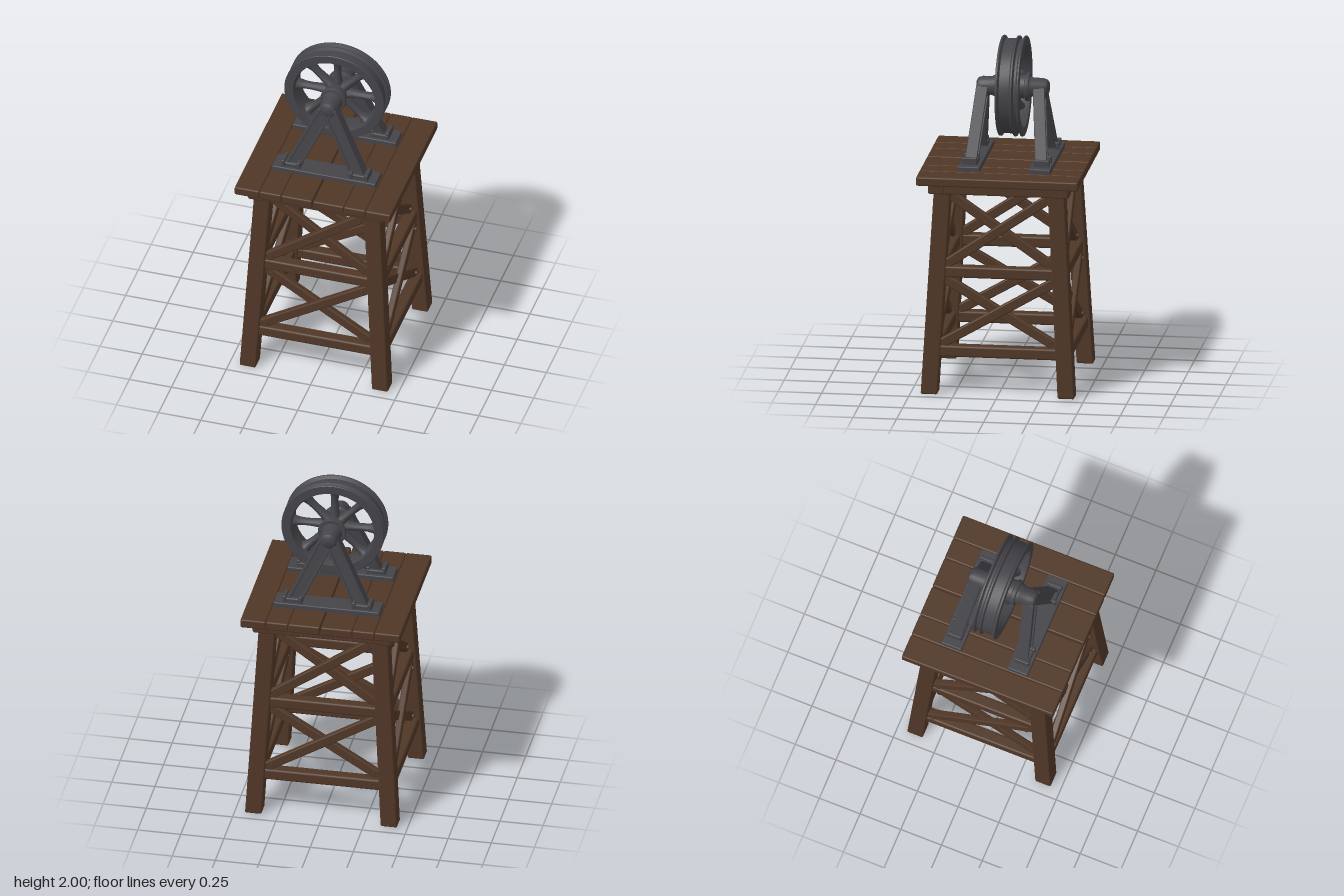
import * as THREE from 'three';
import { RoundedBoxGeometry } from 'three/addons/geometries/RoundedBoxGeometry.js';
import { toCreasedNormals } from 'three/addons/utils/BufferGeometryUtils.js';

const wood = new THREE.MeshStandardMaterial({ name: 'brown wood', color: 0x503727 });
const iron = new THREE.MeshStandardMaterial({ name: 'dark iron', color: 0x444449 });

function add(parent, name, geometry, material, x = 0, y = 0, z = 0) {
  const mesh = new THREE.Mesh(geometry, material);
  mesh.name = name;
  mesh.position.set(x, y, z);
  parent.add(mesh);
  return mesh;
}

const block = (w, h, d, r = 0.008) => new RoundedBoxGeometry(w, h, d, 2, r);

// Straight bar from a to b; w lies across the bar, d along the facing direction
function bar(parent, name, a, b, w, d, material, side = 0, r = 0.008) {
  const along = b.clone().sub(a);
  const length = along.length();
  along.normalize();
  const across = new THREE.Vector3().crossVectors(along, new THREE.Vector3(0, 0, 1)).normalize();
  const facing = new THREE.Vector3().crossVectors(across, along);
  const mesh = add(parent, name, block(w, length, d, r), material);
  mesh.quaternion.setFromRotationMatrix(new THREE.Matrix4().makeBasis(across, along, facing));
  mesh.position.copy(a).add(b).multiplyScalar(0.5).addScaledVector(across, side);
  return mesh;
}

// Turned solid around the z axis; profile is [radius, z] pairs
function turned(profile, segments = 48) {
  const points = profile.map(([r, z]) => new THREE.Vector2(r, z));
  const geometry = toCreasedNormals(new THREE.LatheGeometry(points, segments), 0.6);
  return geometry.rotateX(Math.PI / 2);
}

// Distance of the leg centreline from the middle at height y
const legOffset = (y) => 0.393 - 0.056 * y;

function buildTower() {
  const tower = new THREE.Group();
  tower.name = 'timberTower';

  // Four legs leaning inwards, cut level at the ends
  for (const sx of [-1, 1]) for (const sz of [-1, 1]) {
    const geometry = block(0.096, 1.22, 0.096, 0.009).translate(0, 0.61, 0);
    const p = geometry.attributes.position;
    for (let i = 0; i < p.count; i++) {
      const c = legOffset(p.getY(i));
      p.setXYZ(i, p.getX(i) + sx * c, p.getY(i), p.getZ(i) + sz * c);
    }
    add(tower, 'leg', geometry, wood);
  }

  // Four braced sides
  for (let k = 0; k < 4; k++) {
    const side = new THREE.Group();
    side.name = 'bracedSide';
    side.rotation.y = k * Math.PI / 2;
    tower.add(side);
    for (const y of [0.25, 0.71]) {
      add(side, 'crossBeam', block(legOffset(y) * 2 - 0.02, 0.066, 0.07, 0.012), wood, 0, y, legOffset(y));
    }
    add(side, 'topBeam', block(0.81, 0.062, 0.09), wood, 0, 1.2, 0.355);

    for (const [low, high] of [[0.28, 0.67], [0.74, 1.16]]) {
      for (const s of [-1, 1]) {
        const point = (x, y) => new THREE.Vector3(x, y, legOffset(y) + s * 0.011);
        const a = point(-s * (legOffset(low) - 0.03), low);
        const b = point(s * (legOffset(high) - 0.03), high);
        bar(side, 'diagonalBrace', a, b, 0.056, 0.038, wood);
        // Pegs near the brace ends
        for (const t of [0.08, 0.92]) {
          const q = a.clone().lerp(b, t);
          const peg = new THREE.CylinderGeometry(0.012, 0.014, 0.05, 8).rotateX(Math.PI / 2);
          add(side, 'peg', peg, wood, q.x, q.y, q.z + 0.004);
        }
      }
    }
  }
  return tower;
}

function buildDeck() {
  const deck = new THREE.Group();
  deck.name = 'plankDeck';
  const edges = [-0.463, -0.315, -0.186, 0, 0.186, 0.315, 0.463];
  for (let i = 0; i < 6; i++) {
    const gapLeft = i === 3 ? 0.003 : 0;
    const gapRight = i === 2 ? 0.003 : 0;
    const x0 = edges[i] + gapLeft, x1 = edges[i + 1] - gapRight;
    add(deck, 'plank', block(x1 - x0, 0.052, 0.93, 0.009), wood, (x0 + x1) / 2, 1.256, 0);
  }
  return deck;
}

function buildWheel() {
  const wheel = new THREE.Group();
  wheel.name = 'pulleyWheel';
  wheel.position.y = 1.716;
  wheel.scale.y = 0.965;

  // Rim with a narrow and a wide groove
  const rim = [
    [0.238, -0.085], [0.245, -0.1], [0.294, -0.1], [0.297, -0.097], [0.297, -0.09], [0.277, -0.08],
    [0.277, -0.068], [0.297, -0.059], [0.297, -0.05], [0.281, -0.042], [0.279, 0.015],
    [0.297, 0.026], [0.297, 0.034], [0.294, 0.037], [0.245, 0.037], [0.238, 0.022], [0.238, -0.085],
  ];
  add(wheel, 'rim', turned(rim, 64), iron);

  // Eight waisted spokes
  const profile = [[0.036, 0.04], [0.025, 0.09], [0.021, 0.15], [0.022, 0.19], [0.028, 0.225], [0.04, 0.245]];
  for (let i = 0; i < 8; i++) {
    const geometry = new THREE.LatheGeometry(profile.map(([r, y]) => new THREE.Vector2(r, y)), 14);
    const spoke = add(wheel, 'spoke', geometry, iron, 0, 0, -0.032);
    spoke.scale.z = 1.25;
    spoke.rotation.z = i * Math.PI / 4;
  }
  return wheel;
}

function buildAxle() {
  // Hub, collars and bearing housings turned as one piece
  const profile = [
    [0, -0.237], [0.03, -0.237], [0.044, -0.228], [0.052, -0.205], [0.055, -0.14], [0.06, -0.127],
    [0.079, -0.127], [0.081, -0.122], [0.081, -0.106], [0.068, -0.1], [0.062, -0.03], [0.068, 0.036],
    [0.076, 0.042], [0.076, 0.057], [0.073, 0.063], [0.06, 0.065], [0.06, 0.08], [0.054, 0.09],
    [0.053, 0.145], [0.045, 0.168], [0.03, 0.178], [0, 0.178],
  ];
  const axle = new THREE.Mesh(turned(profile, 32), iron);
  axle.name = 'axle';
  axle.position.y = 1.713;
  return axle;
}

function buildSupport(sign) {
  const support = new THREE.Group();
  support.name = sign > 0 ? 'frontSupport' : 'backSupport';
  const place = (z) => -0.02 + sign * (z + 0.02);
  add(support, 'basePlate', block(0.615, 0.034, 0.124, 0.006), iron, 0, 1.294, place(0.183));

  for (const s of [-1, 1]) {
    const foot = new THREE.Vector3(s * 0.2, 1.3, place(0.183));
    const head = new THREE.Vector3(s * 0.012, 1.705, place(0.142));
    // Leg with a thin web and raised edges
    bar(support, 'legWeb', foot, head, 0.08, 0.046, iron);
    for (const e of [-1, 1]) bar(support, 'legEdge', foot, head, 0.016, 0.068, iron, e * 0.034, 0.005);
    add(support, 'foot', block(0.11, 0.03, 0.085), iron, s * 0.2, 1.321, place(0.183));
    for (const x of [0.155, 0.247]) {
      add(support, 'footLug', block(0.022, 0.05, 0.09, 0.006), iron, s * x, 1.326, place(0.188));
    }
  }
  return support;
}

export function createModel() {
  const model = new THREE.Group();
  model.name = 'pulleyTower';
  model.add(buildTower(), buildDeck(), buildWheel(), buildAxle(), buildSupport(1), buildSupport(-1));
  return model;
}
